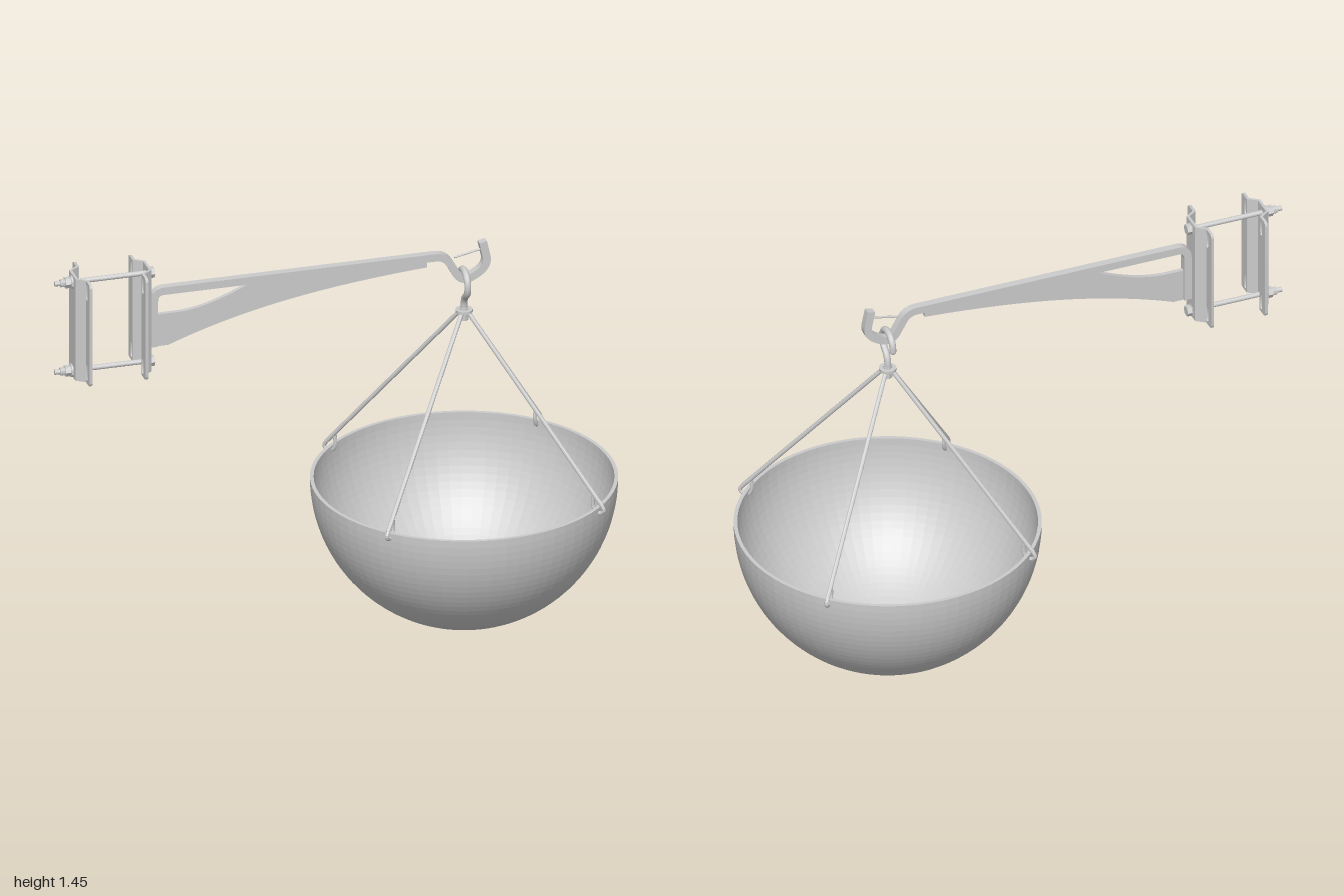
import * as THREE from 'three';
import { toCreasedNormals } from 'three/addons/utils/BufferGeometryUtils.js';

const BOWL_X = 0.465;
const V2 = (x, y) => new THREE.Vector2(x, y);
const V3 = (x, y, z) => new THREE.Vector3(x, y, z);

export function createModel() {
  const root = new THREE.Group();
  root.name = 'wallHungBowl';
  const grey = new THREE.MeshStandardMaterial({ color: 0xcccccc });
  const faceted = new THREE.MeshStandardMaterial({ color: 0xcccccc, flatShading: true, side: THREE.DoubleSide });

  function add(parent, name, geometry, material = grey) {
    const mesh = new THREE.Mesh(geometry, material);
    mesh.name = name;
    parent.add(mesh);
    return mesh;
  }

  function group(name, parent = root) {
    const g = new THREE.Group();
    g.name = name;
    parent.add(g);
    return g;
  }

  // Cylinder lying between two points
  function bar(parent, name, a, b, radius, sides = 12) {
    const mesh = add(parent, name, toCreasedNormals(new THREE.CylinderGeometry(radius, radius, a.distanceTo(b), sides), 0.7));
    mesh.position.copy(a).lerp(b, 0.5);
    mesh.quaternion.setFromUnitVectors(V3(0, 1, 0), b.clone().sub(a).normalize());
    return mesh;
  }

  // Strip of constant thickness following a 2D line, extruded and centred in depth
  function strip(points, thickness, depth) {
    const left = [], right = [];
    points.forEach((p, i) => {
      const before = points[Math.max(i - 1, 0)], after = points[Math.min(i + 1, points.length - 1)];
      const d = after.clone().sub(before).normalize().multiplyScalar(thickness / 2);
      left.push(V2(p.x - d.y, p.y + d.x));
      right.unshift(V2(p.x + d.y, p.y - d.x));
    });
    const geo = new THREE.ExtrudeGeometry(new THREE.Shape([...left, ...right]), { depth, bevelEnabled: false });
    return toCreasedNormals(geo.translate(0, 0, -depth / 2), 0.5);
  }

  // Bowl: a hemisphere with a flat foot and a thin wall
  const R = 0.53, RIM = 0.505, WALL = 0.013, profile = [V2(0, 0)];
  const footAngle = Math.acos(RIM / R);
  for (let i = 0; i <= 24; i++) {
    const a = footAngle + (Math.PI / 2 - footAngle) * i / 24;
    profile.push(V2(R * Math.sin(a), RIM - R * Math.cos(a)));
  }
  const inner = profile.slice().reverse().map(p => {
    const s = (R - WALL) / R;
    return V2(p.x * s, RIM - (RIM - p.y) * s);
  });
  const bowl = add(root, 'bowl', new THREE.LatheGeometry([...profile, ...inner], 72), faceted);
  bowl.position.x = BOWL_X;

  // Four hanging wires, each curled through the rim
  const hanger = group('hanger');
  hanger.position.x = BOWL_X;
  for (let i = 0; i < 4; i++) {
    const wire = group('wire', hanger);
    wire.rotation.y = Math.PI / 4 + i * Math.PI / 2;
    bar(wire, 'wireRod', V3(0.012, 1.135, 0), V3(0.541, 0.515, 0), 0.008, 10);
    const curl = new THREE.CatmullRomCurve3([
      V3(0.537, 0.52, 0), V3(0.549, 0.498, 0), V3(0.537, 0.486, 0),
      V3(0.516, 0.489, 0), V3(0.506, 0.51, 0), V3(0.507, 0.545, 0),
    ]);
    add(wire, 'wireCurl', new THREE.TubeGeometry(curl, 24, 0.007, 8), faceted);
  }
  const hub = add(hanger, 'hub', toCreasedNormals(new THREE.CylinderGeometry(0.03, 0.03, 0.01, 24), 0.7));
  hub.position.y = 1.135;
  bar(hanger, 'hubNut', V3(0, 1.1, 0), V3(0, 1.145, 0), 0.016, 6);

  // Hook over the arm, with its stem running down through the hub
  const hookPoints = [];
  for (let i = 0; i <= 9; i++) {
    const a = (-8 + i * 25) * Math.PI / 180;
    hookPoints.push(V3(0, 1.24 + 0.047 * Math.sin(a), -0.047 * Math.cos(a)));
  }
  hookPoints.push(V3(0, 1.187, 0.01), V3(0, 1.165, 0), V3(0, 1.1, 0));
  add(hanger, 'hook', new THREE.TubeGeometry(new THREE.CatmullRomCurve3(hookPoints), 60, 0.012, 12));
  const tip = add(hanger, 'hookTip', new THREE.SphereGeometry(0.012, 12, 8));
  tip.position.copy(hookPoints[0]);

  // Square-section arm: wall leg, long beam and upturned cradle
  const arm = group('arm');
  const path = new THREE.Path();
  path.moveTo(-0.647, 1.145);
  path.lineTo(-0.647, 1.315);
  path.quadraticCurveTo(-0.647, 1.353, -0.609, 1.353);
  path.lineTo(0.36, 1.353);
  path.quadraticCurveTo(0.393, 1.353, 0.41, 1.325);
  path.lineTo(0.433, 1.285);
  path.quadraticCurveTo(0.453, 1.246, 0.49, 1.263);
  path.lineTo(0.51, 1.274);
  path.quadraticCurveTo(0.547, 1.296, 0.543, 1.33);
  path.lineTo(0.53, 1.39);
  add(arm, 'armBar', strip(path.getPoints(10), 0.028, 0.028));
  bar(arm, 'safetyPin', V3(0.43, 1.34, 0), V3(0.535, 1.362, 0), 0.004, 8);

  // Curved web stiffening the underside of the beam
  const web = new THREE.Shape();
  web.moveTo(-0.637, 1.145);
  web.lineTo(-0.595, 1.145);
  web.bezierCurveTo(-0.33, 1.245, -0.04, 1.295, 0.33, 1.318);
  web.lineTo(0.33, 1.342);
  web.lineTo(-0.3, 1.342);
  web.bezierCurveTo(-0.4, 1.295, -0.48, 1.268, -0.56, 1.265);
  web.lineTo(-0.637, 1.265);
  const webGeo = new THREE.ExtrudeGeometry(web, { depth: 0.016, bevelEnabled: false, curveSegments: 24 });
  add(arm, 'armWeb', toCreasedNormals(webGeo.translate(0, 0, -0.008), 0.5));

  // Slotted flange outline: inner edge straight, outer corners rounded
  const H = 0.385, T = 0.01, MID = 1.26;
  function flangeGeometry() {
    const s = new THREE.Shape(), z0 = 0.058, z1 = 0.107, h = H / 2, r = 0.015;
    s.moveTo(z0, -h);
    s.lineTo(z1 - r, -h);
    s.quadraticCurveTo(z1, -h, z1, -h + r);
    s.lineTo(z1, h - r);
    s.quadraticCurveTo(z1, h, z1 - r, h);
    s.lineTo(z0, h);
    for (const y of [-0.152, 0.152]) {
      const slot = new THREE.Path();
      slot.absarc(0.071, y + 0.022, 0.008, 0, Math.PI, false);
      slot.absarc(0.071, y - 0.022, 0.008, Math.PI, Math.PI * 2, false);
      s.holes.push(slot);
    }
    const geo = new THREE.ExtrudeGeometry(s, { depth: T, bevelEnabled: false, curveSegments: 8 });
    return toCreasedNormals(geo.translate(0, 0, -T / 2), 0.5);
  }

  // Two facing clamp plates with raised centres
  const flangeGeo = flangeGeometry();
  const channelGeo = strip([V2(-0.06, 0), V2(-0.037, 0.032), V2(0.037, 0.032), V2(0.06, 0)], T, H);
  for (const [name, x, turn] of [['armPlate', -0.7, Math.PI / 2], ['backPlate', -0.9, -Math.PI / 2]]) {
    const plate = group(name);
    plate.position.set(x, MID, 0);
    plate.rotation.y = turn;
    add(plate, 'plateChannel', channelGeo).rotation.x = Math.PI / 2;
    for (const side of [0, Math.PI]) add(plate, 'plateFlange', flangeGeo).rotation.z = side;
  }
  // The channel rises toward the outside of each plate
  root.traverse(o => { if (o.name === 'plateChannel') o.rotation.x = Math.PI / 2; });

  // Clamp bolts with heads, washers and nuts
  for (const y of [1.09, 1.425]) {
    const bolt = group('clampBolt');
    const piece = (name, x0, x1, r, n) => bar(bolt, name, V3(x0, y, 0), V3(x1, y, 0), r, n);
    piece('boltShank', -1, -0.65, 0.009, 16);
    piece('boltHead', -0.664, -0.645, 0.02, 6);
    piece('headWasher', -0.668, -0.662, 0.023, 20);
    piece('washer', -0.944, -0.937, 0.023, 20);
    piece('nut', -0.964, -0.944, 0.02, 6);
    piece('lockNut', -0.98, -0.964, 0.014, 12);
  }
  return root;
}
